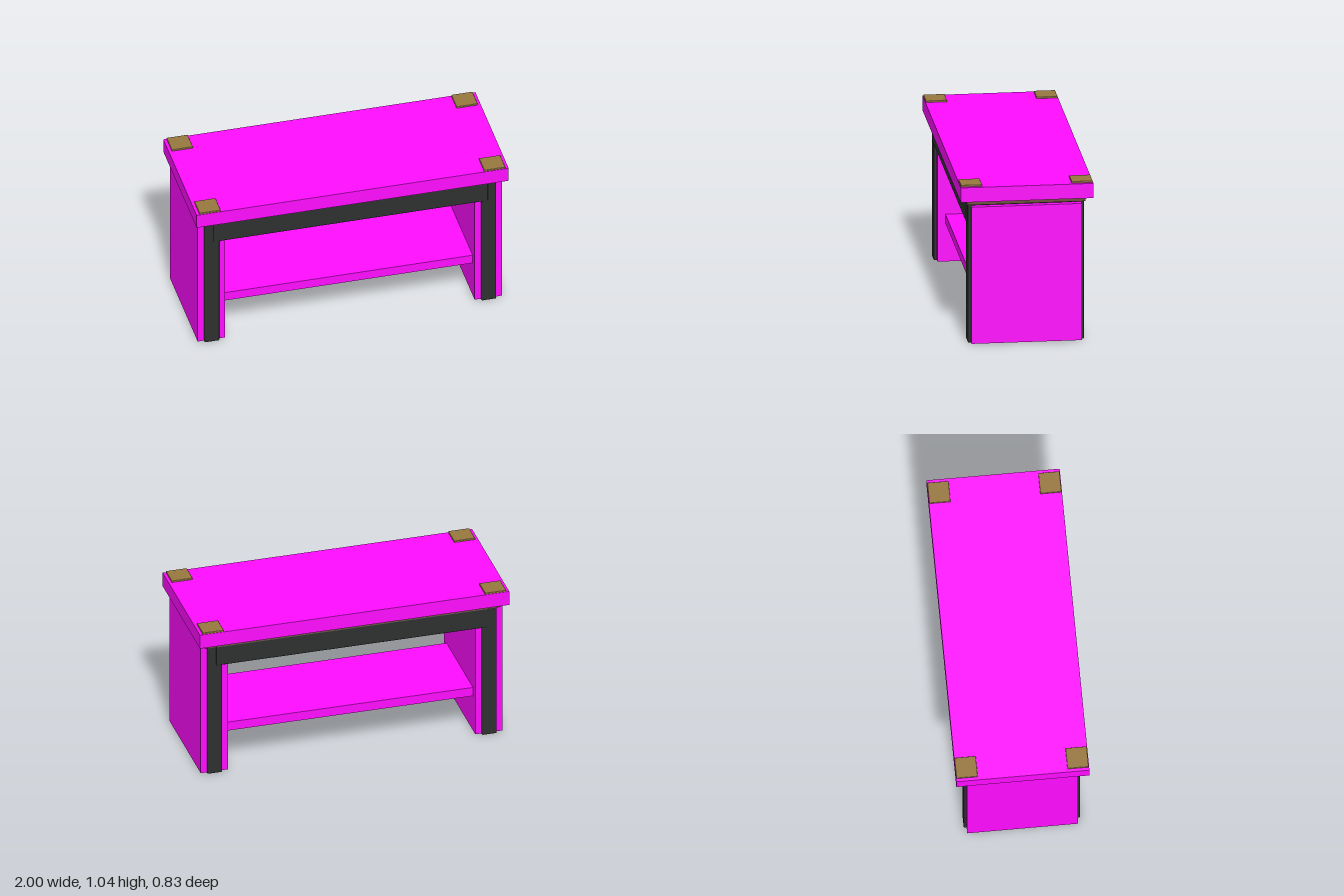
import * as THREE from 'three';
import { RoundedBoxGeometry } from 'three/addons/geometries/RoundedBoxGeometry.js';

const paint = (color) => new THREE.MeshStandardMaterial({ color });

export function createModel() {
  const group = new THREE.Group();
  const magenta = paint(0xff0cff);
  const black = paint(0x2e302f);
  const brown = paint(0x6b4f3a);
  const brass = paint(0x98773f);

  // Box given by its extents; a bevel radius softens the edges
  function box(name, material, [x0, x1], [y0, y1], [z0, z1], bevel = 0) {
    const size = [x1 - x0, y1 - y0, z1 - z0];
    const geometry = bevel
      ? new RoundedBoxGeometry(...size, 2, bevel)
      : new THREE.BoxGeometry(...size);
    const mesh = new THREE.Mesh(geometry, material);
    mesh.name = name;
    mesh.position.set((x0 + x1) / 2, (y0 + y1) / 2, (z0 + z1) / 2);
    group.add(mesh);
  }
  // Range on one side of the centre
  const side = (s, a, b) => (s > 0 ? [a, b] : [-b, -a]);

  // Table top, the board beneath it and the lower shelf
  box('tableTop', magenta, [-1, 1], [0.93, 1.025], [-0.415, 0.415]);
  box('underBoard', brown, [-0.955, 0.955], [0.898, 0.93], [-0.37, 0.37]);
  box('shelf', magenta, [-0.8, 0.8], [0.25, 0.31], [-0.295, 0.295]);

  for (const s of [1, -1]) {
    const end = s > 0 ? 'left' : 'right';
    // Solid end panels with a rail along their top
    box(end + 'EndPanel', magenta, side(s, 0.8, 0.975), [0.004, 0.89], [-0.345, 0.345]);
    box(end + 'EndRail', black, side(s, 0.84, 0.935), [0.765, 0.898], [-0.29, 0.29], 0.006);

    // Long rails on the front and back
    box(s > 0 ? 'frontRail' : 'backRail', black,
      [-0.88, 0.88], [0.765, 0.9], side(s, 0.302, 0.369), 0.006);

    // Legs and the corner caps on the top
    for (const f of [1, -1]) {
      const corner = end + (f > 0 ? 'Front' : 'Back');
      box(corner + 'Leg', black, side(s, 0.84, 0.935), [0, 0.9], side(f, 0.302, 0.363), 0.006);
      box(corner + 'CornerCap', brass, side(s, 0.845, 0.98), [1.015, 1.036], side(f, 0.28, 0.412), 0.003);
    }
  }
  return group;
}
